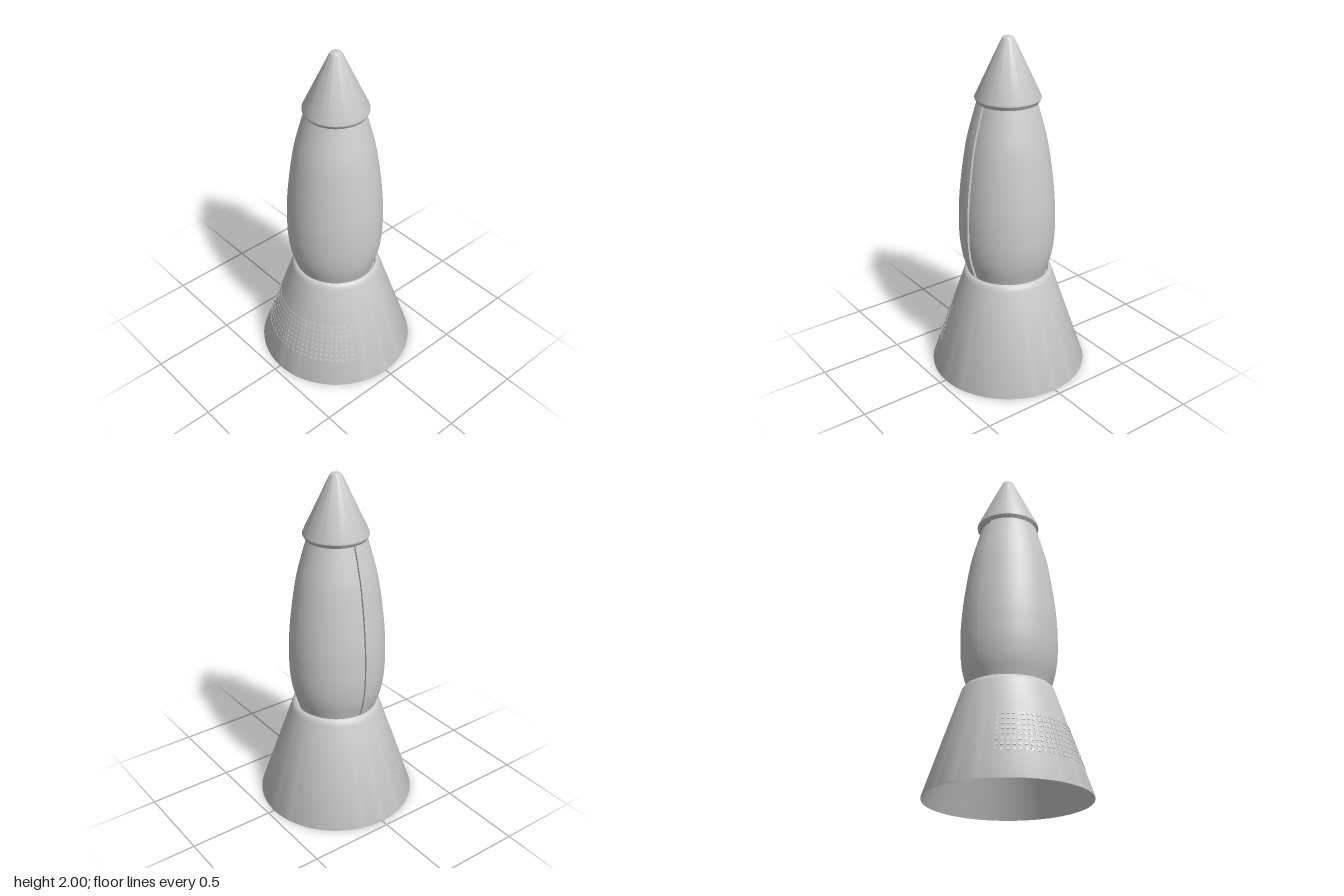
import * as THREE from 'three';
import { toCreasedNormals } from 'three/addons/utils/BufferGeometryUtils.js';

const grey = new THREE.MeshStandardMaterial({ color: 0xcccccc, side: THREE.DoubleSide });
grey.name = 'lightGrey';

// Turned part from [radius, height] points listed bottom to top along the outside
function turned(name, points, start = 0, sweep = Math.PI * 2, segments = 64) {
  const profile = points.map(([r, y]) => new THREE.Vector2(r, y));
  const geometry = toCreasedNormals(new THREE.LatheGeometry(profile, segments, start, sweep), 0.5);
  const mesh = new THREE.Mesh(geometry, grey);
  mesh.name = name;
  return mesh;
}

// Smooth bulging body profile, offset inwards by a wall distance
function bodyProfile(inset) {
  const curve = new THREE.SplineCurve([
    [0.232, 0.6], [0.24, 0.63], [0.266, 0.72], [0.28, 0.82], [0.283, 0.92], [0.28, 1.04],
    [0.265, 1.2], [0.235, 1.4], [0.2, 1.54], [0.17, 1.645],
  ].map(([r, y]) => new THREE.Vector2(r, y)));
  return curve.getPoints(40).map((p) => [p.x - inset, p.y]);
}

export function createModel() {
  const model = new THREE.Group();
  model.name = 'lamp';

  // Flared hollow base with a rounded upper rim
  model.add(turned('base', [
    [0.459, 0], [0.46, 0.008], [0.264, 0.592], [0.258, 0.61], [0.248, 0.621], [0.238, 0.625],
    [0.232, 0.618], [0.23, 0.59],
  ]));
  model.add(turned('baseInside', [[0.459, 0], [0.23, 0.59], [0, 0.59]]));

  // Small vent ribs fanned over the front of the base
  const vents = new THREE.Group();
  vents.name = 'ventRibs';
  const rib = new THREE.BoxGeometry(0.015, 0.014, 0.004);
  const tilt = Math.atan2(0.196, 0.584);
  for (let column = -14; column <= 14; column++) {
    const fan = new THREE.Group();
    fan.name = 'ventColumn';
    fan.rotation.y = column * THREE.MathUtils.degToRad(4.45);
    for (let row = 0; row < 8; row++) {
      const y = 0.16 + row * 0.03;
      const mesh = new THREE.Mesh(rib, grey);
      mesh.name = 'ventRib';
      mesh.position.set(0, y, 0.46 - (y - 0.008) * 0.196 / 0.584);
      mesh.rotation.x = -tilt;
      fan.add(mesh);
    }
    vents.add(fan);
  }
  model.add(vents);

  // Body: a wider front half shell and a slightly slimmer back half
  const outer = bodyProfile(0);
  const inner = bodyProfile(0.012);
  model.add(turned('frontShell', outer, -Math.PI / 2, Math.PI, 40));
  model.add(turned('backShell', inner, Math.PI / 2, Math.PI, 40));

  // Flat edges closing the step between the two halves
  for (const side of [-1, 1]) {
    const outline = [...outer, ...inner.slice().reverse()]
      .map(([r, y]) => new THREE.Vector2(side * r, y));
    const edge = new THREE.Mesh(new THREE.ShapeGeometry(new THREE.Shape(outline)), grey);
    edge.name = side > 0 ? 'leftShellEdge' : 'rightShellEdge';
    // Turned to face the back
    edge.rotation.y = Math.PI;
    model.add(edge);
  }

  // Conical cap with a bevelled lower lip and blunt tip
  model.add(turned('cap', [
    [0, 1.638], [0.17, 1.638], [0.183, 1.66], [0.183, 1.67], [0.036, 1.982], [0.032, 1.99],
    [0.022, 1.997], [0, 2],
  ]));

  return model;
}
